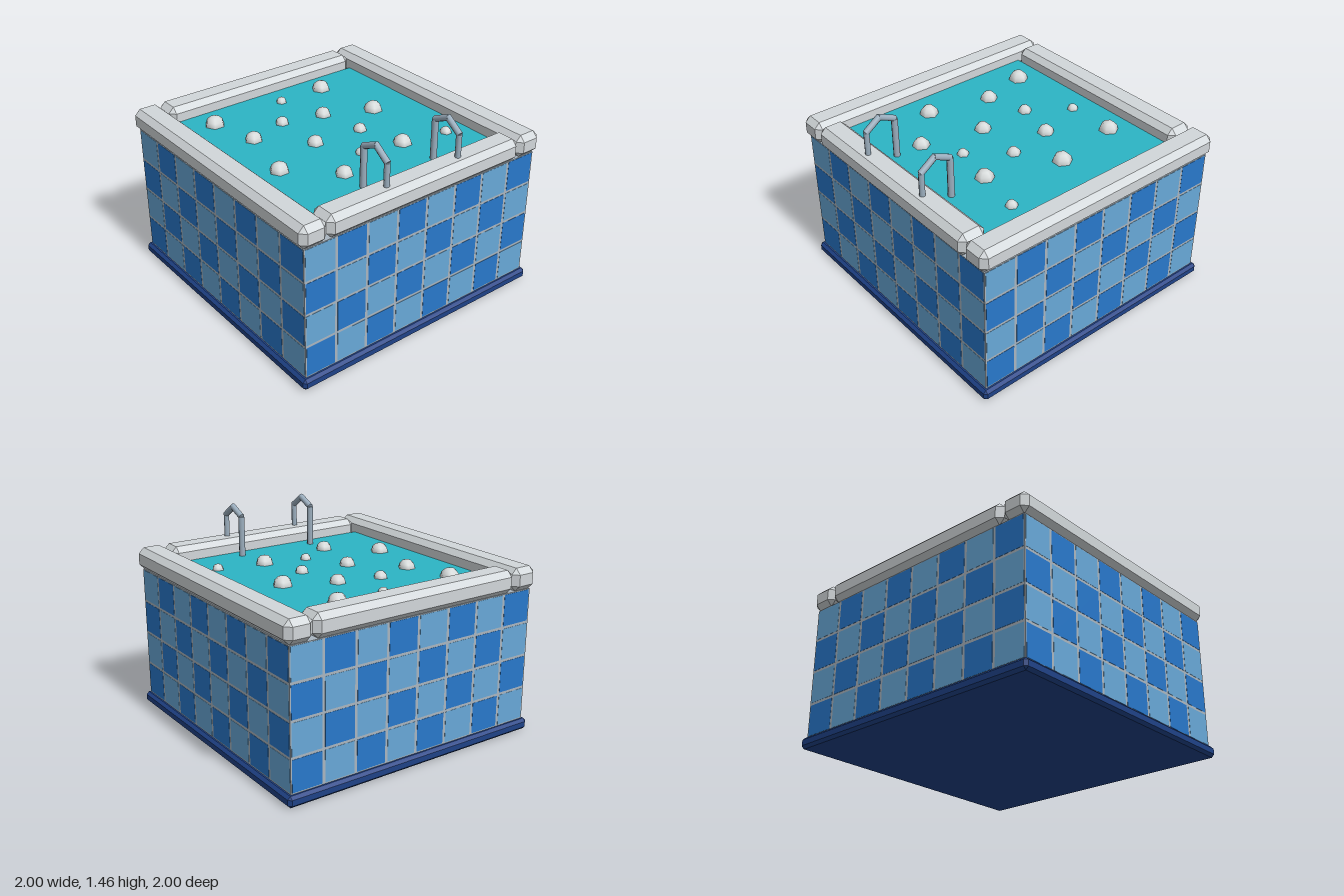
import * as THREE from 'three';
import { ConvexGeometry } from 'three/addons/geometries/ConvexGeometry.js';

const mat = (name, color) => {
  const m = new THREE.MeshStandardMaterial({ color });
  m.name = name;
  return m;
};

// Box with every edge and corner cut flat
function chamferBox(w, h, d, c) {
  const pts = [];
  for (const x of [-1, 1]) for (const y of [-1, 1]) for (const z of [-1, 1]) {
    for (let axis = 0; axis < 3; axis++) {
      const half = [w / 2, h / 2, d / 2].map((s, i) => (i === axis ? s : s - c));
      pts.push(new THREE.Vector3(x * half[0], y * half[1], z * half[2]));
    }
  }
  return new ConvexGeometry(pts);
}

export function createModel() {
  const model = new THREE.Group();
  model.name = 'tiledPool';

  const rimMat = mat('pale stone', 0xd2d7da);
  const groutMat = mat('grout', 0xaab6c0);
  const lightMat = mat('light blue tile', 0x68a8d8);
  const darkMat = mat('dark blue tile', 0x2878cb);
  const baseMat = mat('navy', 0x1f4287);
  const waterMat = mat('water', 0x2cb5c5);
  const metalMat = mat('steel', 0x9db0c0);
  const bubbleMat = mat('bubble', 0xd8dcdc);

  const add = (parent, name, geo, material, x = 0, y = 0, z = 0) => {
    const mesh = new THREE.Mesh(geo, material);
    mesh.name = name;
    mesh.position.set(x, y, z);
    parent.add(mesh);
    return mesh;
  };

  // Base slab, body and water
  add(model, 'base', chamferBox(2, 0.08, 2, 0.02), baseMat, 0, 0.04, 0);
  add(model, 'body', new THREE.BoxGeometry(1.938, 0.97, 1.938), groutMat, 0, 0.555, 0);
  add(model, 'water', new THREE.BoxGeometry(1.6, 0.09, 1.6), waterMat, 0, 1.05, 0);

  // Checkered tiles, the same on each of the four walls
  const pitchX = 0.2425, pitchY = 0.241;
  const tileGeo = new THREE.BoxGeometry(0.222, 0.222, 0.004);
  ['front', 'left', 'back', 'right'].forEach((side, k) => {
    const wall = new THREE.Group();
    wall.name = side + 'Tiles';
    wall.rotation.y = k * Math.PI / 2;
    for (let r = 0; r < 4; r++) for (let c = 0; c < 8; c++) {
      add(wall, 'tile', tileGeo, (r + c) % 2 ? lightMat : darkMat,
        (c - 3.5) * pitchX, 0.2 + r * pitchY, 0.9685);
    }
    model.add(wall);
  });

  // Coping stones: long ones front and back, shorter ones between
  const longRim = chamferBox(2, 0.16, 0.2, 0.04);
  const shortRim = chamferBox(0.2, 0.16, 1.6, 0.04);
  for (const s of [1, -1]) {
    add(model, s > 0 ? 'frontRim' : 'backRim', longRim, rimMat, 0, 1.12, s * 0.9);
    add(model, s > 0 ? 'leftRim' : 'rightRim', shortRim, rimMat, s * 0.9, 1.12, 0);
  }

  // Ladder handrails: two posts and two sloping bars each
  const bars = [
    ['post', 0.696, 1.05, 0.696, 1.385, 0.023],
    ['post', 0.916, 1.15, 0.916, 1.365, 0.02],
    ['topBar', 0.692, 1.386, 0.82, 1.444, 0.022],
    ['topBar', 0.806, 1.444, 0.922, 1.362, 0.022],
  ];
  for (const z of [0.3, -0.3]) {
    const rail = new THREE.Group();
    rail.name = 'handrail';
    rail.position.z = z;
    for (const [name, x0, y0, x1, y1, r] of bars) {
      const length = Math.hypot(x1 - x0, y1 - y0);
      const bar = add(rail, name, new THREE.CylinderGeometry(r, r, length, 8),
        metalMat, (x0 + x1) / 2, (y0 + y1) / 2, 0);
      bar.rotation.z = -Math.atan2(x1 - x0, y1 - y0);
    }
    model.add(rail);
  }

  // Bubbles floating on the surface: x, z, radius
  const bubbleGeo = new THREE.SphereGeometry(1, 6, 6).rotateY(Math.PI / 6);
  [
    [-0.62, -0.378, 0.07], [-0.108, -0.46, 0.07], [0.473, -0.627, 0.043], [0.411, -0.283, 0.067],
    [0.08, -0.183, 0.05], [-0.262, -0.122, 0.06], [-0.62, -0.013, 0.04], [0.348, 0.027, 0.042],
    [-0.335, 0.184, 0.05], [0.05, 0.184, 0.06], [0.5, 0.293, 0.062], [-0.248, 0.485, 0.063],
    [-0.605, 0.571, 0.072], [0.21, 0.597, 0.068],
  ].forEach(([x, z, r]) => {
    add(model, 'bubble', bubbleGeo, bubbleMat, x, 1.095, z).scale.setScalar(r);
  });

  return model;
}
